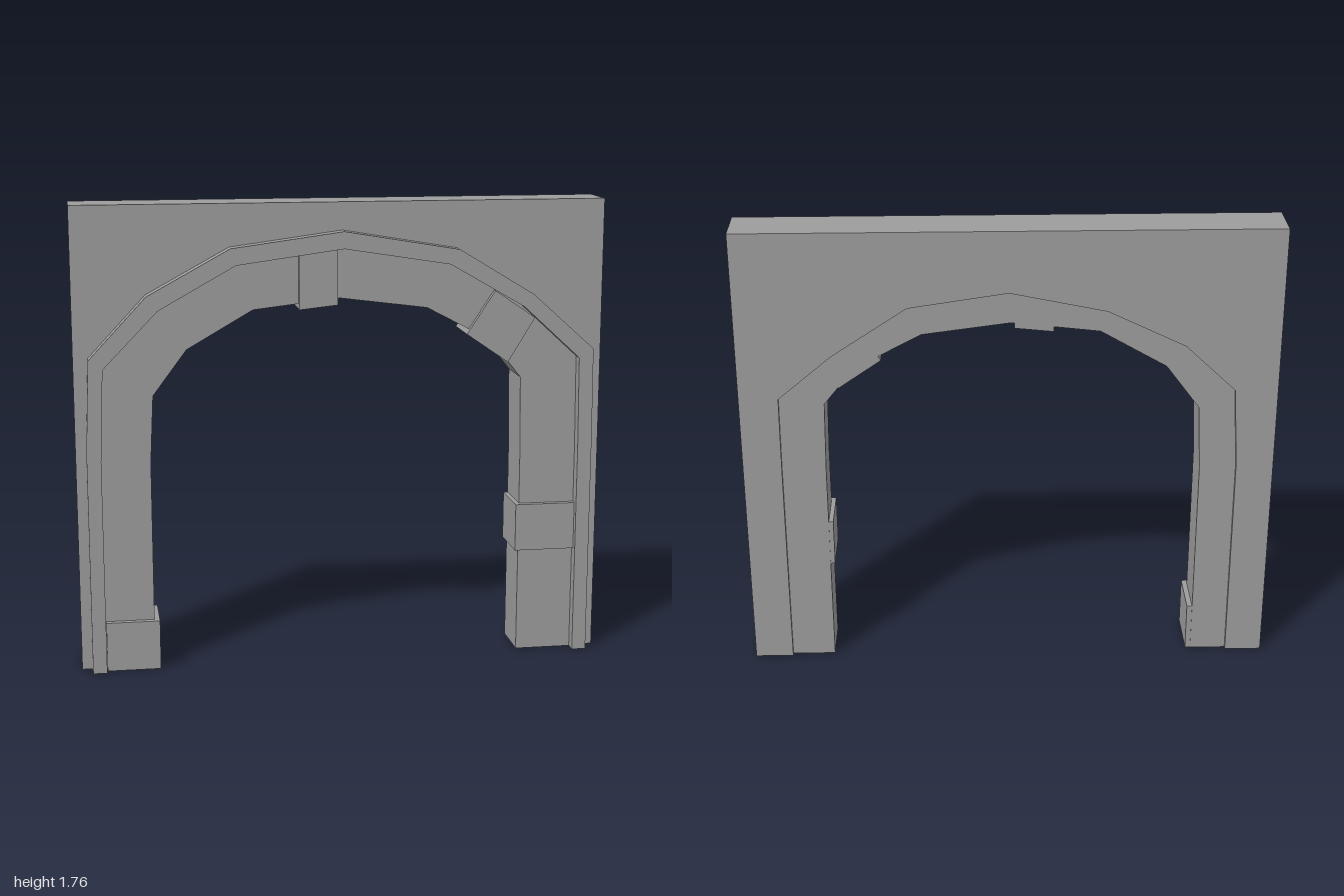
import * as THREE from 'three';

const material = new THREE.MeshStandardMaterial({ color: 0x9c9c9c, flatShading: true });

// Arch outlines, from the foot on the -x side over the top to the foot on the +x side
const trimOuter = [[-0.96, 0], [-0.96, 0.85], [-0.945, 1.2], [-0.73, 1.43], [-0.42, 1.6], [0, 1.656],
  [0.435, 1.583], [0.72, 1.41], [0.957, 1.197], [0.96, 0.85], [0.96, 0]];
const trimInner = [[-0.907, 0], [-0.907, 0.82], [-0.893, 1.165], [-0.688, 1.377], [-0.4, 1.538], [0, 1.592],
  [0.4, 1.528], [0.685, 1.363], [0.902, 1.163], [0.906, 0.82], [0.906, 0]];
const wallOpening = [[-0.86, 0], [-0.86, 0.82], [-0.84, 1.13], [-0.65, 1.31], [-0.36, 1.45], [0, 1.525],
  [0.37, 1.47], [0.65, 1.285], [0.853, 1.115], [0.855, 0.82], [0.855, 0]];
const liningInner = [[-0.723, 0], [-0.723, 0.8], [-0.71, 1.055], [-0.583, 1.225], [-0.335, 1.368], [-0.01, 1.405],
  [0.32, 1.362], [0.57, 1.23], [0.685, 1.087], [0.69, 0.8], [0.69, 0]];

// Extrudes a closed outline between two depths
function slab(name, points, back, front) {
  const shape = new THREE.Shape(points.map(([x, y]) => new THREE.Vector2(x, y)));
  const geometry = new THREE.ExtrudeGeometry(shape, { depth: front - back, bevelEnabled: false });
  geometry.translate(0, 0, back);
  const mesh = new THREE.Mesh(geometry, material);
  mesh.name = name;
  return mesh;
}

// Closed band between two arch outlines
const band = (outer, inner) => [...outer, ...[...inner].reverse()];

export function createModel() {
  const model = new THREE.Group();
  model.name = 'archway';

  // Wall with the opening cut up from the ground
  const wallEdge = [[-1, 0], [-1, 1.76], [1, 1.76], [1, 0]];
  model.add(slab('wall', band(wallEdge, wallOpening), -0.12, 0.063));

  // Lining set into the opening and raised trim around it
  model.add(slab('archLining', band(trimInner, liningInner), -0.105, 0.076));
  model.add(slab('archTrim', band(trimOuter, trimInner), 0.06, 0.12));

  // Protruding stones wrapped around the lining
  const stones = {
    footStone: [[-0.905, 0], [-0.703, 0], [-0.703, 0.19], [-0.905, 0.19]],
    sideStone: [[0.673, 0.407], [0.905, 0.407], [0.905, 0.59], [0.673, 0.59]],
    crownStone: [[-0.165, 1.367], [-0.02, 1.382], [-0.02, 1.587], [-0.165, 1.568]],
    shoulderStone: [[0.47, 1.26], [0.63, 1.15], [0.732, 1.318], [0.577, 1.424]],
  };
  for (const [name, points] of Object.entries(stones)) {
    model.add(slab(name, points, -0.102, 0.098));
  }
  return model;
}
